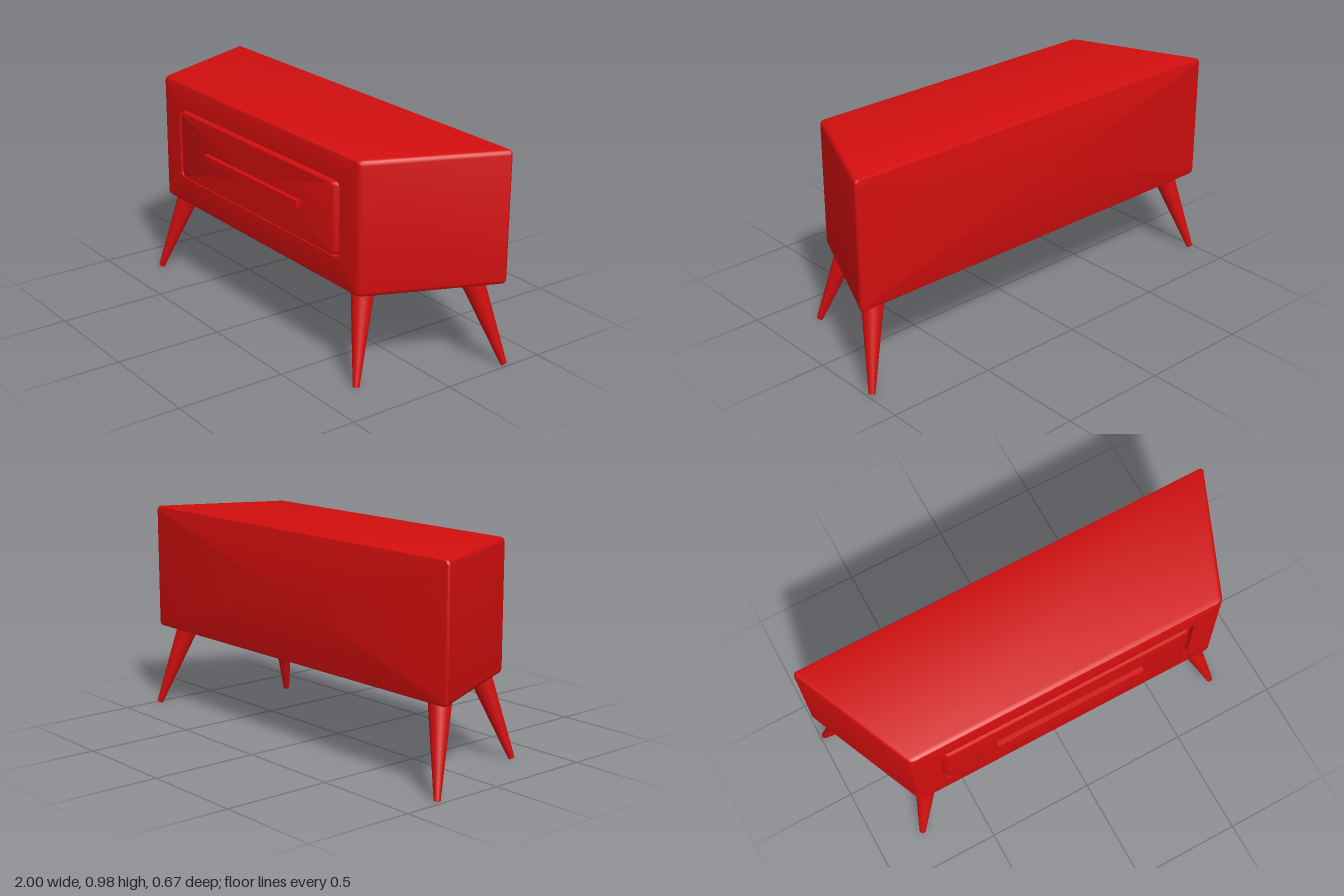
import * as THREE from 'three';
import { toCreasedNormals } from 'three/addons/utils/BufferGeometryUtils.js';

const red = new THREE.MeshStandardMaterial({ color: 0xd20e0e });

// Rounded rectangle as a counter-clockwise loop of points at depth z
function roundedLoop([z, halfWidth, bottom, top, radius]) {
  const points = [];
  const steps = 4;
  for (let corner = 0; corner < 4; corner++) {
    const right = corner === 0 || corner === 3;
    const upper = corner < 2;
    const cx = (right ? 1 : -1) * (halfWidth - radius);
    const cy = upper ? top - radius : bottom + radius;
    for (let i = 0; i <= steps; i++) {
      const angle = (corner + i / steps) * Math.PI / 2;
      points.push([cx + radius * Math.cos(angle), cy + radius * Math.sin(angle), z]);
    }
  }
  return points;
}

// Skin over a row of loops, listed from back to front, with both ends closed
function loft(sections) {
  const loops = sections.map(roundedLoop);
  const centres = sections.map(([z, , bottom, top]) => [0, (bottom + top) / 2, z]);
  const last = loops.length - 1;
  const n = loops[0].length;
  const positions = [];
  const triangle = (a, b, c) => positions.push(...a, ...b, ...c);
  for (let i = 0; i < n; i++) {
    const j = (i + 1) % n;
    triangle(centres[0], loops[0][j], loops[0][i]);
    for (let k = 0; k < last; k++) {
      const a = loops[k], b = loops[k + 1];
      triangle(a[i], a[j], b[j]);
      triangle(a[i], b[j], b[i]);
    }
    triangle(centres[last], loops[last][i], loops[last][j]);
  }
  const geometry = new THREE.BufferGeometry();
  geometry.setAttribute('position', new THREE.Float32BufferAttribute(positions, 3));
  return toCreasedNormals(geometry, 0.6);
}

function addPart(group, name, geometry) {
  const mesh = new THREE.Mesh(geometry, red);
  mesh.name = name;
  group.add(mesh);
  return mesh;
}

// Tapered leg between a foot point and a top point
function addLeg(group, name, foot, top) {
  const axis = top.clone().sub(foot);
  const leg = addPart(group, name, new THREE.CylinderGeometry(0.052, 0.014, axis.length(), 32));
  leg.position.copy(foot).add(top).multiplyScalar(0.5);
  leg.quaternion.setFromUnitVectors(new THREE.Vector3(0, 1, 0), axis.normalize());
}

export function createModel() {
  const group = new THREE.Group();
  group.name = 'sideTable';

  // Cabinet narrowing to the front, with soft edges and a drawer recess
  addPart(group, 'cabinet', loft([
    [-0.3, 0.985, 0.399, 0.964, 0.015],
    [-0.297, 0.994, 0.39, 0.973, 0.019],
    [-0.288, 0.998, 0.386, 0.977, 0.022],
    [0.268, 0.757, 0.386, 0.977, 0.022],
    [0.28, 0.75, 0.389, 0.974, 0.02],
    [0.287, 0.742, 0.393, 0.97, 0.018],
    [0.29, 0.73, 0.4, 0.963, 0.015],
    [0.29, 0.618, 0.515, 0.853, 0.028],
    [0.262, 0.618, 0.515, 0.853, 0.028],
  ]));

  // Drawer front with sloping ends
  addPart(group, 'drawerFront', loft([
    [0.25, 0.608, 0.523, 0.845, 0.022],
    [0.274, 0.608, 0.523, 0.845, 0.022],
    [0.295, 0.592, 0.525, 0.843, 0.022],
    [0.3, 0.584, 0.531, 0.837, 0.018],
  ]));

  // Bar handle
  const handle = addPart(group, 'handle', new THREE.BoxGeometry(0.72, 0.031, 0.03));
  handle.position.set(0, 0.683, 0.307);

  // Splayed legs, mirrored left and right
  for (const [side, sign] of [['Left', 1], ['Right', -1]]) {
    addLeg(group, 'front' + side + 'Leg',
      new THREE.Vector3(sign * 0.783, 0.005, 0.321), new THREE.Vector3(sign * 0.676, 0.405, 0.208));
    addLeg(group, 'back' + side + 'Leg',
      new THREE.Vector3(sign * 0.98, 0.005, -0.321), new THREE.Vector3(sign * 0.873, 0.405, -0.208));
  }
  return group;
}
